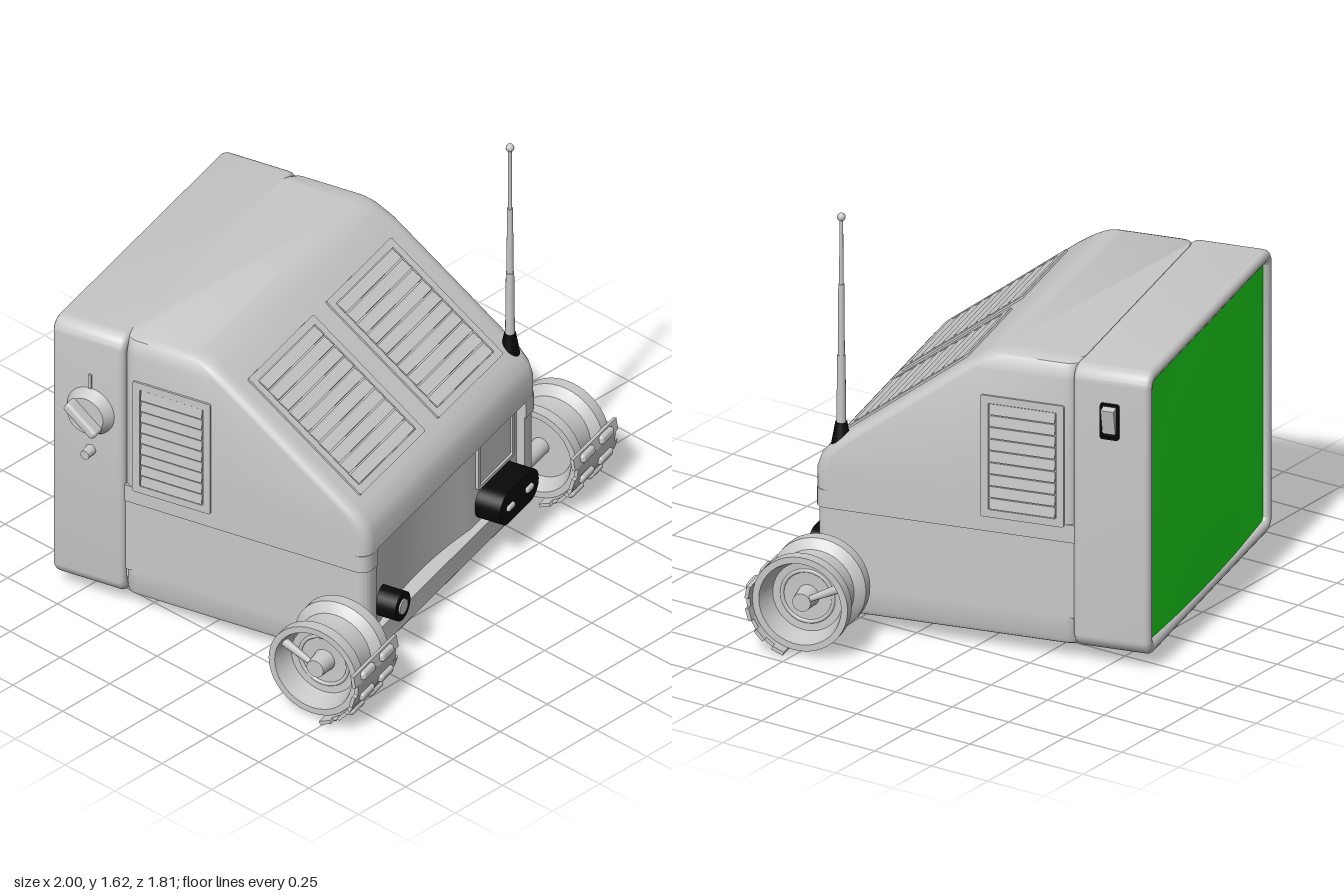
import * as THREE from 'three';
import { toCreasedNormals } from 'three/addons/utils/BufferGeometryUtils.js';
import { RoundedBoxGeometry } from 'three/addons/geometries/RoundedBoxGeometry.js';

const mat = (name, color) => {
  const m = new THREE.MeshStandardMaterial({ color });
  m.name = name;
  return m;
};
const grey = mat('casing grey', 0xc8c8c8);
const black = mat('black plastic', 0x080808);
const green = mat('screen green', 0x1ee41e);

function add(parent, name, geo, material, x = 0, y = 0, z = 0) {
  const m = new THREE.Mesh(geo, material);
  m.name = name;
  m.position.set(x, y, z);
  parent.add(m);
  return m;
}
const box = (w, h, d) => new THREE.BoxGeometry(w, h, d);
const cyl = (rTop, rBottom, h, n = 24) => new THREE.CylinderGeometry(rTop, rBottom, h, n);

// Rounded rectangle path
function roundRect(p, x0, y0, x1, y1, r) {
  p.moveTo(x0 + r, y0);
  p.lineTo(x1 - r, y0); p.absarc(x1 - r, y0 + r, r, -Math.PI / 2, 0);
  p.lineTo(x1, y1 - r); p.absarc(x1 - r, y1 - r, r, 0, Math.PI / 2);
  p.lineTo(x0 + r, y1); p.absarc(x0 + r, y1 - r, r, Math.PI / 2, Math.PI);
  p.lineTo(x0, y0 + r); p.absarc(x0 + r, y0 + r, r, Math.PI, Math.PI * 1.5);
  return p;
}

function frameGeo(w, h, border, depth) {
  const s = roundRect(new THREE.Shape(), -w / 2, -h / 2, w / 2, h / 2, 0.008);
  s.holes.push(roundRect(new THREE.Path(), border - w / 2, border - h / 2, w / 2 - border, h / 2 - border, 0.005));
  return new THREE.ExtrudeGeometry(s, { depth, bevelEnabled: false, curveSegments: 3 });
}

const X0 = -0.745, X1 = 0.538, BACK = -0.52, FRONT = 0.505, CX = (X0 + X1) / 2;

// Solid from stacked rounded rectangles; each layer is [y, front z, inset]
function loft(layers) {
  const R = 0.055, N = 5, ring = 4 * (N + 1), pos = [], idx = [];
  for (const [y, zf, inset] of layers) {
    const corners = [[X1 - inset - R, zf - R], [X1 - inset - R, BACK + R], [X0 + inset + R, BACK + R], [X0 + inset + R, zf - R]];
    corners.forEach(([cx, cz], q) => {
      for (let i = 0; i <= N; i++) {
        const a = (q + i / N) * Math.PI / 2;
        pos.push(cx + R * Math.sin(a), y, cz + R * Math.cos(a));
      }
    });
  }
  const last = (layers.length - 1) * ring;
  for (let i = 0; i < ring; i++) {
    const j = (i + 1) % ring;
    for (let k = 0; k < last; k += ring) idx.push(k + i, k + j, k + ring + i, k + ring + j, k + ring + i, k + j);
    if (i > 0 && j > 0) idx.push(0, j, i, last, last + i, last + j);
  }
  const g = new THREE.BufferGeometry();
  g.setAttribute('position', new THREE.Float32BufferAttribute(pos, 3));
  g.setIndex(idx);
  return toCreasedNormals(g, 0.6);
}

// Horizontal layer with the curved recess in its front
function recessedLayer(y0, y1, inset) {
  const s = new THREE.Shape(), r = 0.055, left = X0 + inset, right = X1 - inset, front = inset - FRONT;
  s.moveTo(left, -BACK);
  s.lineTo(left, r + front);
  s.quadraticCurveTo(left, front, left + r, front);
  s.lineTo(-0.66, front);
  s.lineTo(-0.66, -0.488);
  s.quadraticCurveTo(-0.3, -0.4, 0.1, -0.465);
  s.lineTo(0.444, -0.465);
  s.lineTo(0.444, front);
  s.lineTo(right - r, front);
  s.quadraticCurveTo(right, front, right, r + front);
  s.lineTo(right, -BACK);
  const g = new THREE.ExtrudeGeometry(s, { depth: y1 - y0, bevelEnabled: false, curveSegments: 14 });
  g.rotateX(-Math.PI / 2).translate(0, y0, 0);
  return toCreasedNormals(g, 0.5);
}

// Framed vent with tilted slats, facing +z
function vent(name, w, h, n, border) {
  const g = new THREE.Group();
  g.name = name;
  add(g, 'ventFrame', frameGeo(w, h, border, 0.008), grey);
  const step = (h - 2 * border) / n;
  for (let i = 0; i < n; i++) {
    const slat = add(g, 'ventSlat', box(w - 2 * border - 0.01, step * 0.88, 0.008), grey, 0, (i + 0.5) * step - h / 2 + border, 0.003);
    slat.rotation.x = -0.1;
  }
  return g;
}

// Wheel with dished rim, hub, crank and a curved tread shoe; s is the side
function wheel(s) {
  const g = new THREE.Group();
  g.name = s > 0 ? 'leftWheel' : 'rightWheel';
  const profile = [[0, -0.06], [0.13, -0.06], [0.16, -0.12], [0.185, -0.12], [0.185, -0.075], [0.17, -0.06], [0.15, -0.045],
    [0.144, 0], [0.15, 0.045], [0.17, 0.06], [0.185, 0.075], [0.185, 0.12], [0.16, 0.12], [0.135, 0.04], [0, 0.03]];
  const turn = -s * Math.PI / 2;
  const rim = new THREE.LatheGeometry(profile.map(p => new THREE.Vector2(...p)), 40);
  add(g, 'wheelRim', toCreasedNormals(rim, 0.6), grey).rotation.z = turn;
  add(g, 'wheelHub', cyl(0.035, 0.045, 0.09), grey, s * 0.06).rotation.z = turn;
  add(g, 'hubRing', new THREE.TorusGeometry(0.1, 0.008, 8, 36), grey, s * 0.036).rotation.y = Math.PI / 2;
  const crank = add(g, 'wheelCrank', cyl(0.018, 0.01, 0.15, 10), grey, s * 0.09, 0.035, -0.07);
  crank.rotation.x = -1.1;
  add(g, 'axle', cyl(0.035, 0.035, 0.2), grey, -s * 0.14).rotation.z = turn;
  for (let i = 0; i < 7; i++) {
    const row = new THREE.Group();
    row.name = 'treadRow';
    row.rotation.x = THREE.MathUtils.degToRad(-10 + i * 13);
    const wide = i % 2 === 0;
    add(row, 'treadPlate', box(wide ? 0.32 : 0.28, 0.048, 0.014), grey, 0, 0, 0.193);
    if (wide) for (const x of [-0.07, 0.07])
      add(row, 'treadLug', new RoundedBoxGeometry(0.09, 0.036, 0.028, 3, 0.013), grey, x, 0, 0.203);
    g.add(row);
  }
  g.position.set(-0.105 + s * 0.82, 0.198, 0.448);
  return g;
}

export function createModel() {
  const model = new THREE.Group();
  model.name = 'wheeledTelevision';
  const set = new THREE.Group();
  set.name = 'televisionSet';
  set.rotation.y = 0.2487;
  model.add(set);

  // Casing
  add(set, 'casingBase', loft([[0.05, 0.475, 0.03], [0.058, 0.487, 0.014], [0.075, 0.499, 0.006], [0.16, 0.499, 0.006]]), grey);
  add(set, 'lowerCasing', recessedLayer(0.16, 0.46, 0.006), grey);
  add(set, 'casingLip', recessedLayer(0.46, 0.53, 0), grey);
  add(set, 'upperCasing', loft([[0.53, FRONT, 0], [0.61, FRONT, 0], [0.66, 0.488, 0], [0.7, 0.453, 0], [0.74, 0.405, 0],
    [1.1, -0.07, 0], [1.14, -0.13, 0.008], [1.16, -0.165, 0.02], [1.17, -0.21, 0.045]]), grey);

  // Screen surround and bulging screen
  const ring = roundRect(new THREE.Shape(), -0.76, 0.05, 0.55, 1.17, 0.06);
  ring.holes.push(roundRect(new THREE.Path(), -0.71, 0.1, 0.5, 1.12, 0.02));
  const bezel = new THREE.ExtrudeGeometry(ring, { depth: 0.25, bevelThickness: 0.025, bevelSize: 0.025, bevelOffset: -0.025, bevelSegments: 4, curveSegments: 6 });
  add(set, 'screenSurround', toCreasedNormals(bezel, 0.6), grey, 0, 0, -0.78);
  const glass = new THREE.PlaneGeometry(1.22, 1.03, 20, 20), p = glass.attributes.position;
  for (let i = 0; i < p.count; i++)
    p.setZ(i, 0.036 * (1 - (p.getX(i) / 0.61) ** 2) * (1 - 0.6 * (p.getY(i) / 0.515) ** 2));
  glass.computeVertexNormals();
  add(set, 'screen', glass, green, -0.105, 0.61, -0.782).rotation.y = Math.PI;

  // Vents on the slope and both sides
  for (const x of [-0.407, 0.175]) {
    const v = vent('slopeVent', 0.485, 0.59, 10, 0.03);
    v.position.set(x, 0.905, 0.187);
    v.rotation.x = -0.922;
    set.add(v);
  }
  for (const s of [-1, 1]) {
    const v = vent('sideVent', 0.325, 0.48, 9, 0.03);
    v.position.set(s > 0 ? X1 : X0, 0.76, -0.308);
    v.rotation.y = s * Math.PI / 2;
    set.add(v, wheel(s));
  }

  // Front panel: socket, plug and label plate
  add(set, 'frontSocket', cyl(0.058, 0.058, 0.1), black, -0.575, 0.245, 0.51).rotation.x = Math.PI / 2;
  add(set, 'socketPin', cyl(0.03, 0.03, 0.02), grey, -0.575, 0.245, 0.556).rotation.x = Math.PI / 2;
  const pill = roundRect(new THREE.Shape(), -0.145, -0.068, 0.145, 0.068, 0.066);
  add(set, 'powerPlug', new THREE.ExtrudeGeometry(pill, { depth: 0.115, bevelEnabled: false }), black, 0.278, 0.232, 0.455);
  for (const x of [-0.07, 0.07])
    add(set, 'plugPin', new RoundedBoxGeometry(0.05, 0.024, 0.02, 2, 0.009), grey, 0.278 + x, 0.232, 0.572);
  add(set, 'labelFrame', frameGeo(0.266, 0.2, 0.014, 0.015), grey, 0.272, 0.41, 0.463);
  add(set, 'labelPlate', box(0.238, 0.172, 0.008), grey, 0.272, 0.41, 0.465);

  // Rocker switch on the left side
  add(set, 'switchFrame', frameGeo(0.072, 0.14, 0.009, 0.014), black, 0.547, 0.97, -0.652).rotation.y = Math.PI / 2;
  add(set, 'switchWell', box(0.008, 0.125, 0.056), black, 0.549, 0.97, -0.652);
  add(set, 'switchRocker', box(0.035, 0.1, 0.05), grey, 0.556, 0.976, -0.652).rotation.z = -0.2;

  // Rotary dial and buttons on the right side
  add(set, 'dial', cyl(0.075, 0.1, 0.045, 32), grey, -0.78, 0.82, -0.64).rotation.z = Math.PI / 2;
  add(set, 'dialGrip', new RoundedBoxGeometry(0.06, 0.04, 0.16, 3, 0.014), grey, -0.82, 0.82, -0.64).rotation.x = 0.7;
  add(set, 'sideButton', cyl(0.018, 0.022, 0.05, 16), grey, -0.78, 0.65, -0.64).rotation.z = Math.PI / 2;
  add(set, 'dialMark', box(0.01, 0.06, 0.012), grey, -0.762, 0.95, -0.64);

  // Telescopic antenna
  const antenna = new THREE.Group();
  antenna.name = 'antenna';
  antenna.position.set(0.48, 0, 0.418);
  add(antenna, 'antennaBase', cyl(0.022, 0.038, 0.09), black, 0, 0.74, 0);
  [[0.018, 0.78, 1.05], [0.013, 1.05, 1.33], [0.008, 1.33, 1.6]].forEach(([r, a, b]) =>
    add(antenna, 'antennaRod', cyl(r * 0.85, r, b - a, 14), grey, 0, (a + b) / 2, 0));
  add(antenna, 'antennaTip', new THREE.SphereGeometry(0.016, 14, 10), grey, 0, 1.595, 0);
  set.add(antenna);
  return model;
}
